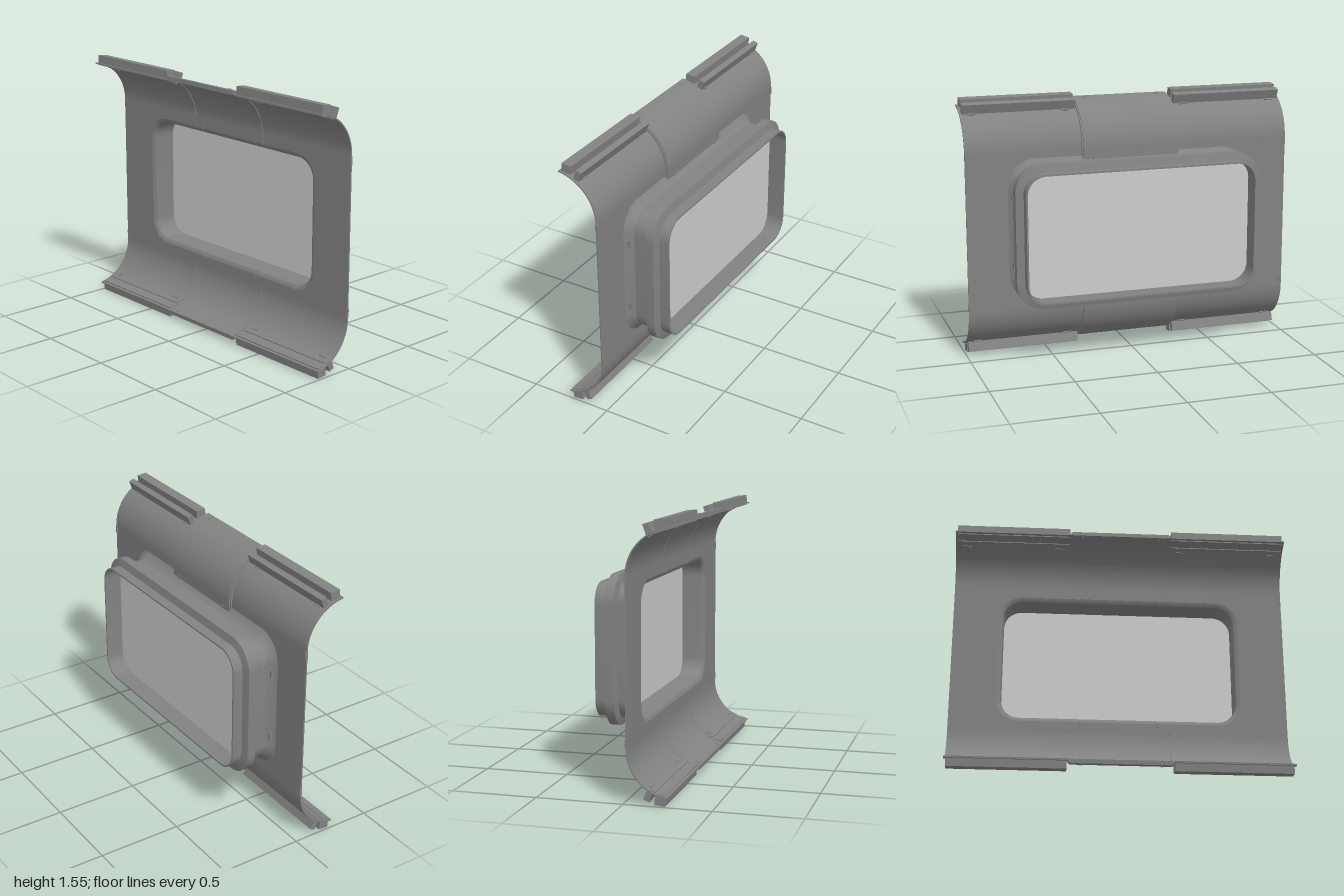
import * as THREE from 'three';
import { toCreasedNormals } from 'three/addons/utils/BufferGeometryUtils.js';

const CY = 0.778;                          // window and panel centre height
const ARC = { z: 0.28, y: 1.248, end: 1.464 };  // centre of the upper bend
const R_IN = 0.255, R_SIDE = 0.263, R_MID = 0.28; // inner face, thin sides, thick centre
const FRONT = ARC.z - R_IN, BACK = ARC.z - R_SIDE; // faces of the flat side wall
const dark = new THREE.MeshStandardMaterial({ color: 0x828282 });
const light = new THREE.MeshStandardMaterial({ color: 0xcccccc });

function add(parent, name, geometry, material = dark) {
  const mesh = new THREE.Mesh(geometry, material);
  mesh.name = name;
  parent.add(mesh);
  return mesh;
}

function box(parent, name, size, pos, tilt = 0) {
  const mesh = add(parent, name, new THREE.BoxGeometry(...size));
  mesh.position.set(...pos);
  mesh.rotation.x = tilt;
}

// Rounded window outline, grown by offset o, counter-clockwise
function outline(o) {
  const r = 0.12 + o, pts = [], n = 10;
  const corners = [[1, 1], [-1, 1], [-1, -1], [1, -1]];
  corners.forEach(([sx, sy], c) => {
    for (let i = 0; i <= n; i++) {
      const a = (c + i / n) * Math.PI / 2;
      pts.push(new THREE.Vector2(
        sx * (0.706 - 0.12) + r * Math.cos(a),
        CY + sy * (0.386 - 0.12) + r * Math.sin(a)));
    }
  });
  return pts;
}

// Closed profile of [offset, z] swept around the window outline
function windowSweep(profile) {
  const pos = [], idx = [], m = profile.length;
  const rings = profile.map(([o, z]) => outline(o).map(p => [p.x, p.y, z]));
  const n = rings[0].length;
  rings.forEach(ring => ring.forEach(p => pos.push(...p)));
  for (let j = 0; j < m; j++) {
    for (let i = 0; i < n; i++) {
      const i2 = (i + 1) % n, j2 = (j + 1) % m;
      const a = j * n + i, b = j * n + i2, c = j2 * n + i2, d = j2 * n + i;
      idx.push(a, b, c, a, c, d);
    }
  }
  const g = new THREE.BufferGeometry();
  g.setAttribute('position', new THREE.Float32BufferAttribute(pos, 3));
  g.setIndex(idx);
  return toCreasedNormals(g, 0.4);
}

// Curved strip between two radii and two bend angles, running from x0 to x1
function arcStrip(x0, x1, rIn, rOut, a0 = 0, a1 = ARC.end) {
  const s = new THREE.Shape();
  s.absarc(ARC.z, ARC.y, rOut, Math.PI - a0, Math.PI - a1, true);
  s.absarc(ARC.z, ARC.y, rIn, Math.PI - a1, Math.PI - a0, false);
  s.closePath();
  const g = new THREE.ExtrudeGeometry(s, { depth: x1 - x0, bevelEnabled: false, curveSegments: 20 });
  g.rotateY(-Math.PI / 2);
  g.translate(x1, 0, 0);
  return toCreasedNormals(g, 0.4);
}

// Upper bend with its rails, seams and clips; the lower one is its mirror
function buildBend(name) {
  const g = new THREE.Group();
  g.name = name;

  // Thick centre piece, reaching down to the window frame
  add(g, 'centreBend', arcStrip(-0.293, 0.293, R_IN, R_MID));
  box(g, 'centreWall', [0.586, 0.068, BACK + 0.002], [0, 1.214, BACK / 2 + 0.001]);

  for (const s of [-1, 1]) {
    const span = (a, b) => s > 0 ? [a, b] : [-b, -a];
    add(g, 'sideBend', arcStrip(...span(0.301, 1), R_IN, R_SIDE));

    // Recessed seam between centre and side
    add(g, 'seam', arcStrip(...span(0.293, 0.301), R_IN + 0.005, R_MID - 0.006));
    box(g, 'seam', [0.008, 0.068, 0.018], [s * 0.297, 1.214, 0.0175]);

    // Outer rails
    box(g, 'wideRail', [0.68, 0.05, 0.06], [s * 0.648, 1.527, 0.207], -0.1);
    box(g, 'narrowRail', [0.68, 0.058, 0.034], [s * 0.648, 1.502, 0.138], -0.35);

    // Shallow inner rails
    add(g, 'innerRail', arcStrip(...span(0.308, 0.988), R_IN - 0.006, R_IN + 0.002, 1.05, 1.16));
    add(g, 'innerRail', arcStrip(...span(0.308, 0.988), R_IN - 0.006, R_IN + 0.002, 1.25, 1.4));

    // Clips along the rails, the outer edge and the centre piece
    for (const x of [0.37, 0.93]) {
      add(g, 'railClip', arcStrip(...span(x - 0.025, x + 0.025), R_IN - 0.006, R_SIDE + 0.006, 0.95, 1.02));
    }
    box(g, 'edgeClip', [0.014, 0.05, 0.016], [s * 0.992, 1.217, 0.02]);
    box(g, 'centreClip', [0.012, 0.024, 0.035], [s * 0.23, 1.192, 0.0125]);
    add(g, 'centreClip', arcStrip(...span(0.225, 0.237), R_IN - 0.004, R_MID + 0.004, 1.3, 1.42));
  }
  return g;
}

export function createModel() {
  const model = new THREE.Group();
  model.name = 'windowPanel';

  // Thin flat wall with the window opening
  const wall = new THREE.Shape([
    new THREE.Vector2(-1, 2 * CY - ARC.y), new THREE.Vector2(1, 2 * CY - ARC.y),
    new THREE.Vector2(1, ARC.y), new THREE.Vector2(-1, ARC.y)]);
  wall.holes.push(new THREE.Path(outline(0.02).reverse()));
  const wallGeometry = new THREE.ExtrudeGeometry(wall, { depth: FRONT - BACK, bevelEnabled: false });
  wallGeometry.translate(0, 0, BACK);
  add(model, 'flatWall', toCreasedNormals(wallGeometry, 0.4));

  // Upper bend and its mirrored twin below
  model.add(buildBend('upperBend'));
  const lower = buildBend('lowerBend');
  lower.scale.y = -1;
  lower.position.y = 2 * CY;
  model.add(lower);

  // Deep window frame: rounded lip, tunnel, flange and flared root
  add(model, 'windowFrame', windowSweep([
    [0.022, FRONT], [0.008, 0.021], [-0.004, 0.012], [-0.01, -0.004],
    [-0.01, -0.25], [0, -0.25], [0, -0.19], [0.046, -0.178],
    [0.046, -0.127], [0, -0.115], [0, -0.028], [0.011, -0.012],
    [0.025, 0.004], [0.045, BACK + 0.001],
  ]));

  // Glass pane inside the tunnel
  const pane = new THREE.ExtrudeGeometry(new THREE.Shape(outline(-0.008)),
    { depth: 0.02, bevelEnabled: false });
  pane.translate(0, 0, -0.14);
  add(model, 'glassPane', pane, light);

  // Small clips on the sides of the frame root
  for (const s of [-1, 1]) {
    for (const dy of [-0.205, 0.205]) {
      box(model, 'frameClip', [0.022, 0.05, 0.018], [s * 0.72, CY + dy, -0.003]);
    }
  }
  return model;
}
